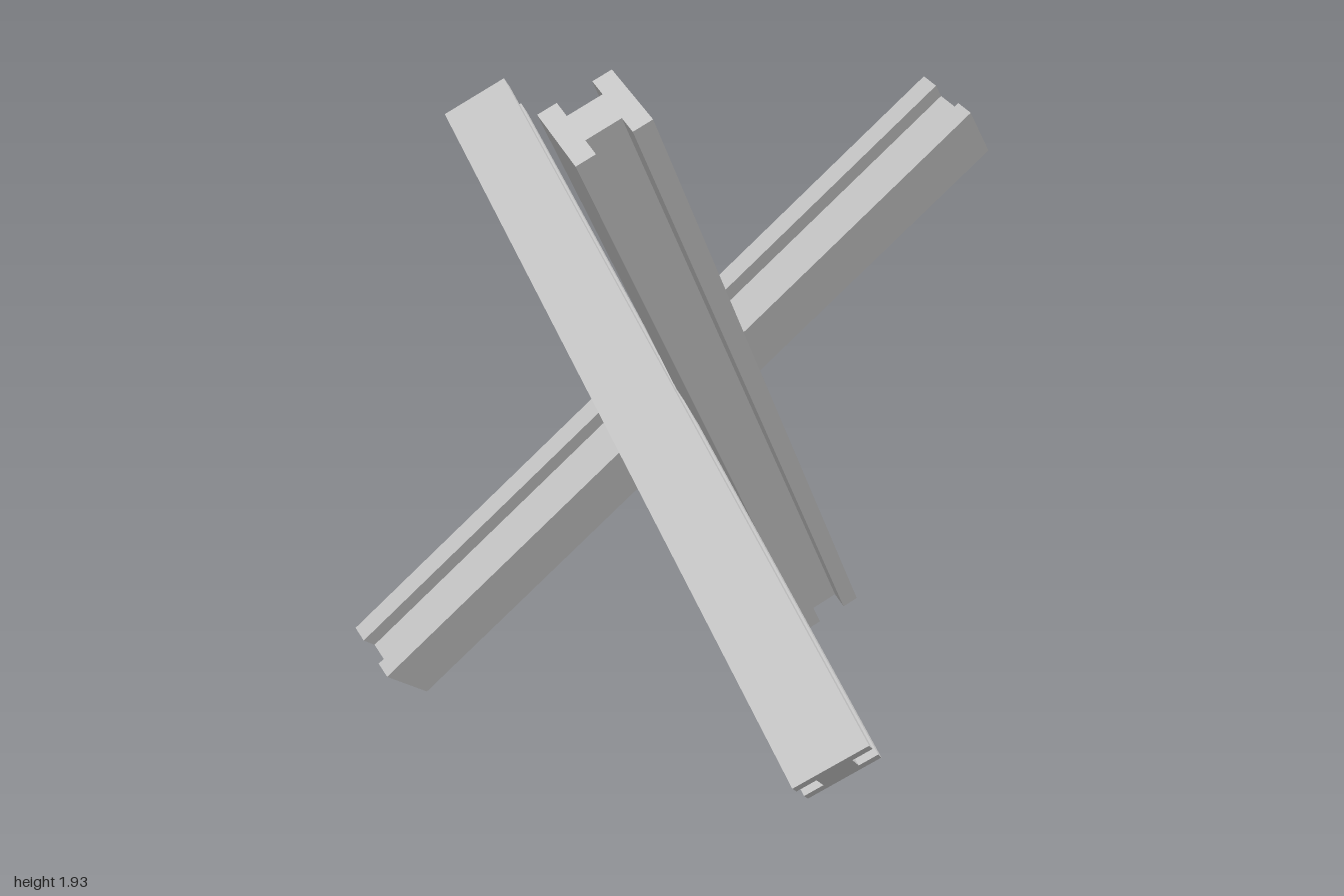
import * as THREE from 'three';

const WIDTH = 0.228;   // flange width
const HEIGHT = 0.213;  // across both flanges
const FLANGE = 0.056;  // flange thickness
const GROOVE = 0.06;   // groove depth on each side

// H-shaped cross-section
function beamProfile() {
  const w = WIDTH / 2, h = HEIGHT / 2, web = w - GROOVE, f = h - FLANGE;
  const quarter = [[w, h], [w, f], [web, f]];
  const flip = (sx, sy) => quarter.map(([x, y]) => [x * sx, y * sy]);
  const loop = [
    ...flip(1, 1), ...flip(1, -1).reverse(),
    ...flip(-1, -1), ...flip(-1, 1).reverse(),
  ];
  return new THREE.Shape(loop.map(([x, y]) => new THREE.Vector2(x, y)));
}

// One beam between two end centres, turned so its flanges spread along `across`
function makeBeam(name, start, end, across, material) {
  const a = new THREE.Vector3(...start), b = new THREE.Vector3(...end);
  const axis = b.clone().sub(a);
  const length = axis.length();
  axis.normalize();
  const w = new THREE.Vector3(...across);
  w.addScaledVector(axis, -w.dot(axis)).normalize();
  const h = new THREE.Vector3().crossVectors(axis, w);

  const geometry = new THREE.ExtrudeGeometry(beamProfile(), { depth: length, bevelEnabled: false });
  geometry.translate(0, 0, -length / 2);

  const beam = new THREE.Mesh(geometry, material);
  beam.name = name;
  beam.quaternion.setFromRotationMatrix(new THREE.Matrix4().makeBasis(w, h, axis));
  beam.position.copy(a).add(b).multiplyScalar(0.5);
  return beam;
}

export function createModel() {
  const model = new THREE.Group();
  model.name = 'crossedBeamObstacle';
  const steel = new THREE.MeshStandardMaterial({ color: 0xcccccc, flatShading: true });

  // Three beams crossing roughly at right angles
  model.add(
    makeBeam('frontBeam', [0.75, 0.115, 0.58], [-0.755, 1.82, -0.36], [-0.185, -0.11, 0.075], steel),
    makeBeam('backBeam', [-0.785, 0.117, 0.295], [0.785, 1.82, -0.53], [0.02, -0.12, -0.195], steel),
    makeBeam('sideBeam', [0.265, 0.115, -0.895], [0.2, 1.818, 0.893], [0.155, -0.115, 0.12], steel),
  );
  return model;
}
